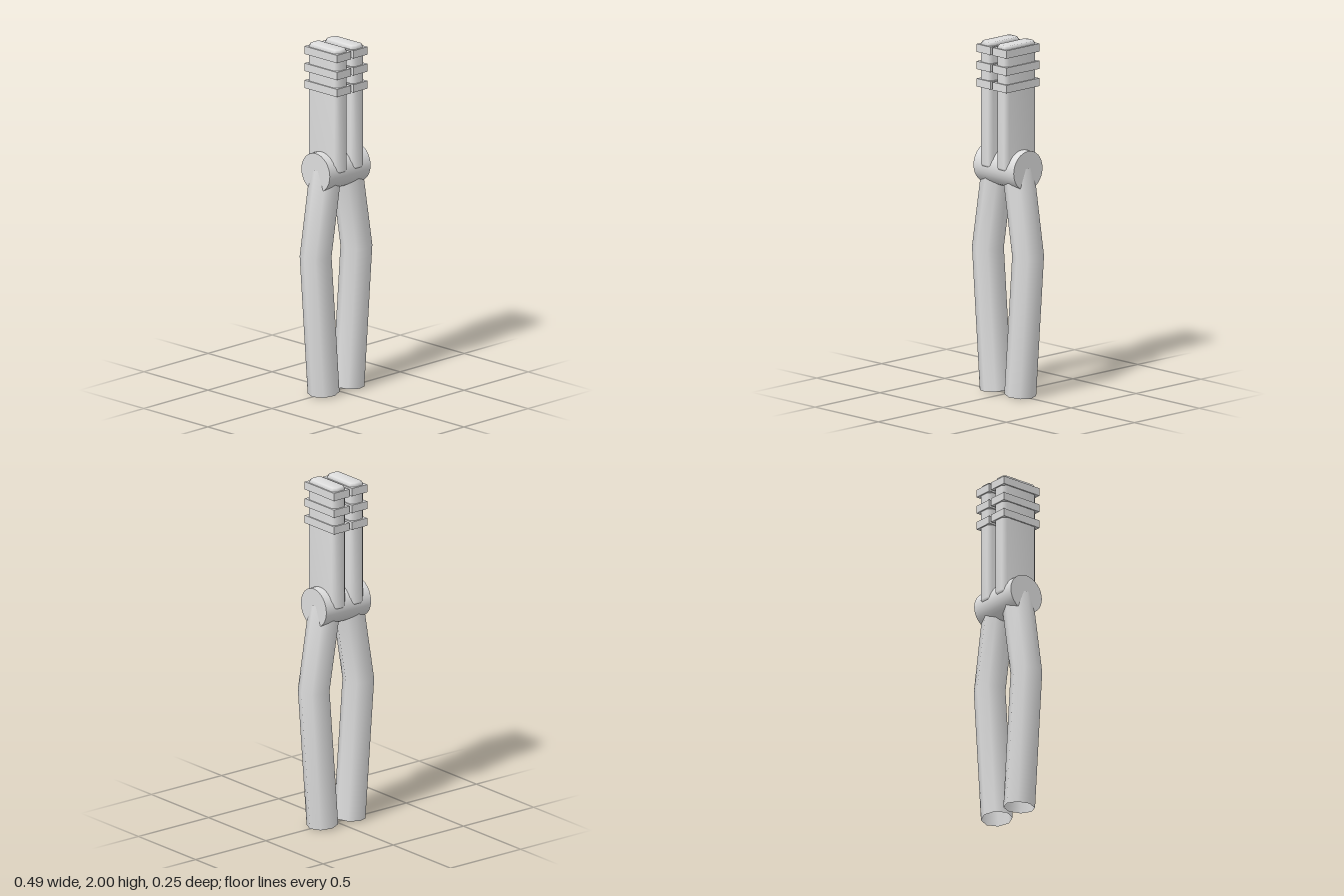
import * as THREE from 'three';
import { mergeVertices } from 'three/addons/utils/BufferGeometryUtils.js';

// Straight two-part path with one sharp bend at its middle
class BentPath extends THREE.Curve {
  constructor(a, b, c) {
    super();
    this.points = [a, b, c];
  }
  getPoint(t, target = new THREE.Vector3()) {
    const [a, b, c] = this.points;
    return t < 0.5 ? target.lerpVectors(a, b, t * 2) : target.lerpVectors(b, c, t * 2 - 1);
  }
  getUtoTmapping(u) {
    return u;
  }
}

// Upright block with chamfered edges and soft, shared normals
function chamferedBlock(width, height, depth) {
  const bevel = 0.01, rise = 0.015, cut = 0.015;
  const x = width / 2 - bevel, z = depth / 2 - bevel;
  const outline = new THREE.Shape([
    [x, -z + cut], [x, z - cut], [x - cut, z], [-x + cut, z],
    [-x, z - cut], [-x, -z + cut], [-x + cut, -z], [x - cut, -z]
  ].map(([px, py]) => new THREE.Vector2(px, py)));
  const block = new THREE.ExtrudeGeometry(outline, {
    depth: height - 2 * rise, bevelSize: bevel, bevelThickness: rise, bevelSegments: 1
  });
  block.deleteAttribute('normal');
  block.deleteAttribute('uv');
  const soft = mergeVertices(block);
  soft.computeVertexNormals();
  return soft.rotateX(-Math.PI / 2).center();
}

export function createModel() {
  const model = new THREE.Group();
  model.name = 'hingedTool';
  // Double-sided because the handles are open tubes
  const grey = new THREE.MeshStandardMaterial({ color: 0xdddddd, side: THREE.DoubleSide });
  grey.name = 'light grey';

  const add = (name, geometry, x = 0, y = 0, z = 0) => {
    const mesh = new THREE.Mesh(geometry, grey);
    mesh.name = name;
    mesh.position.set(x, y, z);
    model.add(mesh);
  };

  // Hinge barrel lying across the model
  add('hinge', new THREE.CylinderGeometry(0.111, 0.111, 0.318, 32).rotateZ(Math.PI / 2), 0, 1.287);

  for (const [side, s] of [['left', 1], ['right', -1]]) {
    // Hollow eight-sided handle, open at both ends
    const path = new BentPath(
      new THREE.Vector3(s * 0.097, 0.007, 0),
      new THREE.Vector3(s * 0.159, 0.805, 0),
      new THREE.Vector3(s * 0.079, 1.287, 0)
    );
    add(side + 'Handle', new THREE.TubeGeometry(path, 2, 0.088, 8, false));

    // Upright jaw with chamfered edges
    add(side + 'Jaw', chamferedBlock(0.095, 0.71, 0.238), s * 0.064, 1.645);

    // Grip bands around the jaw
    for (let i = 0; i < 3; i++) {
      add(side + 'Band' + (i + 1), new THREE.BoxGeometry(0.11, 0.045, 0.255), s * 0.064, 1.763 + i * 0.098);
    }
  }
  return model;
}
